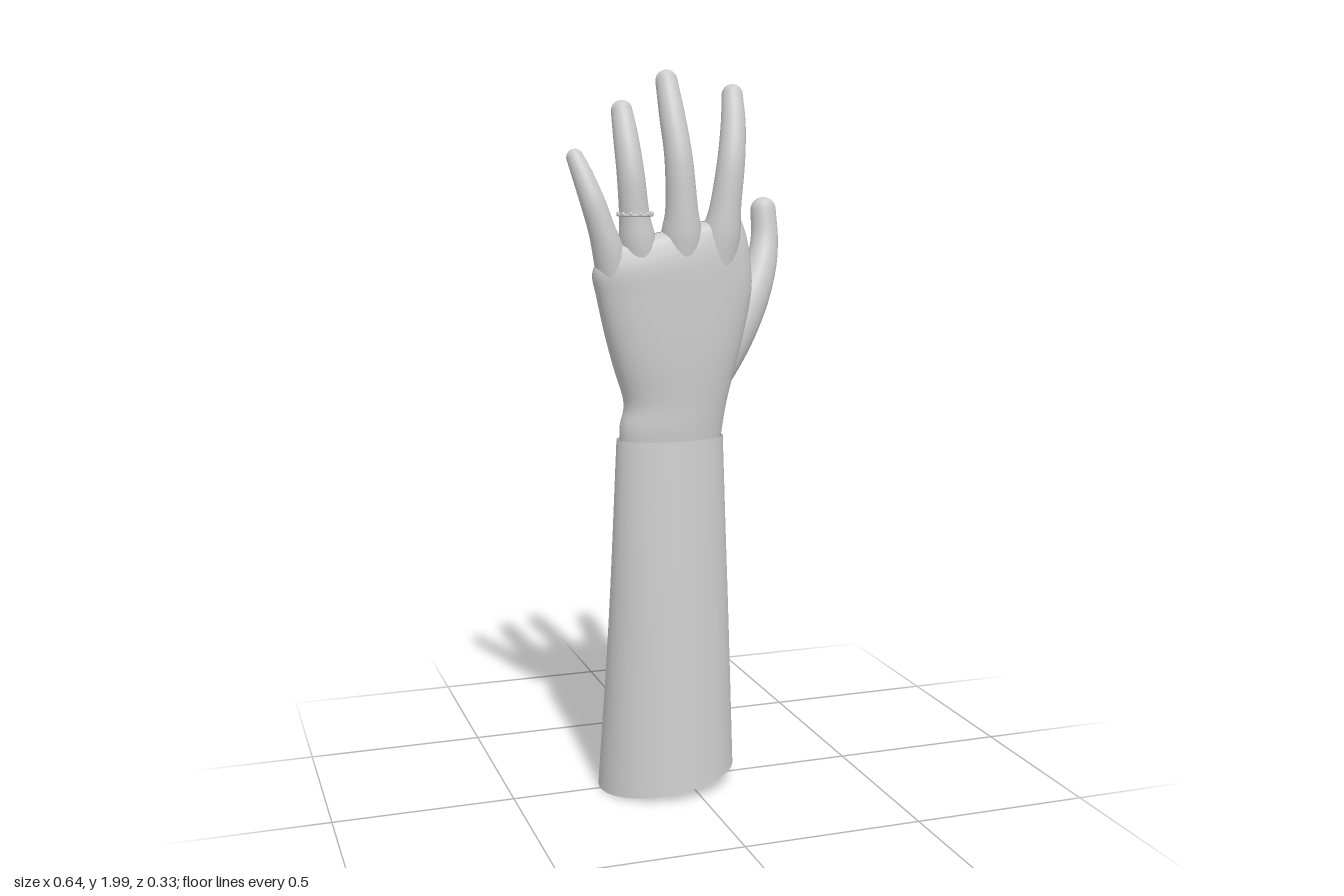
import * as THREE from 'three';

const skin = new THREE.MeshStandardMaterial({ color: 0xcccccc, side: THREE.DoubleSide });
const SIDES = 40;

// Smoothly resample rows of numbers, `steps` per interval
function resample(rows, steps) {
  const size = rows[0].length;
  const curve = new THREE.CubicInterpolant(
    Float32Array.from(rows.keys()), Float32Array.from(rows.flat()), size);
  const out = [];
  for (let i = 0; i <= (rows.length - 1) * steps; i++) out.push(Array.from(curve.evaluate(i / steps)));
  return out;
}

// Skin a list of closed rings (arrays of Vector3)
function loft(name, rings) {
  const pos = [], index = [], n = rings[0].length;
  rings.forEach(ring => ring.forEach(p => pos.push(p.x, p.y, p.z)));
  for (let i = 0; i < rings.length - 1; i++) {
    for (let j = 0; j < n; j++) {
      const a = i * n + j, b = i * n + (j + 1) % n;
      index.push(a, b, a + n, b, b + n, a + n);
    }
  }
  const geo = new THREE.BufferGeometry();
  geo.setAttribute('position', new THREE.Float32BufferAttribute(pos, 3));
  geo.setIndex(index);
  geo.computeVertexNormals();
  const mesh = new THREE.Mesh(geo, skin);
  mesh.name = name;
  return mesh;
}

// Level rounded section from [y, x0, x1, z0, z1, slope]; power < 1 makes it boxier
function section([y, x0, x1, z0, z1, slope], power) {
  const soft = v => Math.sign(v) * Math.abs(v) ** power;
  return Array.from({ length: SIDES }, (_, j) => {
    const a = j / SIDES * Math.PI * 2;
    const dx = soft(Math.cos(a)) * (x1 - x0) / 2;
    return new THREE.Vector3((x0 + x1) / 2 + dx, y + slope * dx,
      (z0 + z1) / 2 - soft(Math.sin(a)) * (z1 - z0) / 2);
  });
}

// Tapered digit along rows of [x, y, z, radius], ending in a round tip
function digit(name, rows) {
  const pts = resample(rows, 8);
  const centre = pts.map(p => new THREE.Vector3(p[0], p[1], p[2]));
  const rings = [];
  const addRing = (c, t, r) => {
    const u = new THREE.Vector3(1, 0, 0).addScaledVector(t, -t.x).normalize();
    const v = new THREE.Vector3().crossVectors(t, u);
    rings.push(Array.from({ length: 24 }, (_, j) => {
      const a = j / 24 * Math.PI * 2;
      return c.clone().addScaledVector(u, r * Math.cos(a)).addScaledVector(v, r * Math.sin(a));
    }));
  };
  let t;
  centre.forEach((c, i) => {
    t = centre[Math.min(i + 1, centre.length - 1)].clone().sub(centre[Math.max(i - 1, 0)]).normalize();
    addRing(c, t, pts[i][3]);
  });
  const end = centre[centre.length - 1], r = pts[pts.length - 1][3];
  for (let k = 1; k <= 8; k++) {
    const a = k / 8 * Math.PI / 2;
    addRing(end.clone().addScaledVector(t, r * Math.sin(a)), t, Math.max(r * Math.cos(a), 1e-4));
  }
  return loft(name, rings);
}

export function createModel() {
  const model = new THREE.Group();
  model.name = 'handAndForearm';

  // Forearm: open tube, cut at a slant below
  const armRows = [
    [0.025, -0.25, 0.14, -0.167, 0.168, 0.128],
    [0.5, -0.217, 0.128, -0.126, 0.127, 0.04],
    [1.0, -0.192, 0.113, -0.086, 0.084, 0],
  ];
  model.add(loft('forearm', resample(armRows, 10).map(r => section(r, 1))));

  // Wrist and palm, hollowed on the inner side
  const palmRows = [
    [0.95, -0.18, 0.1, -0.075, 0.074, 0],
    [1.03, -0.183, 0.112, -0.082, 0.079, 0],
    [1.1, -0.17, 0.124, -0.085, 0.08, 0],
    [1.2, -0.198, 0.15, -0.092, 0.084, 0],
    [1.3, -0.225, 0.175, -0.088, 0.085, 0],
    [1.4, -0.246, 0.193, -0.075, 0.083, 0.05],
    [1.48, -0.26, 0.183, -0.06, 0.08, 0.14],
    [1.53, -0.25, 0.168, -0.042, 0.07, 0.2],
    [1.56, -0.235, 0.15, -0.02, 0.055, 0.22],
    [1.572, -0.19, 0.11, 0.012, 0.026, 0.22],
  ];
  const palmRings = resample(palmRows, 6).map((r, i) => section(r, 1 - 0.18 * Math.min(1, i / 20)));
  palmRings.flat().forEach(p => {
    if (p.z < 0) p.z += 0.025 * Math.exp(-(((p.x + 0.04) / 0.09) ** 2) - ((p.y - 1.35) / 0.11) ** 2);
  });
  model.add(loft('palm', palmRings));

  // Fingers, curling towards the palm side
  model.add(digit('littleFinger', [
    [-0.195, 1.4, 0.01, 0.045], [-0.218, 1.51, 0.02, 0.043], [-0.24, 1.58, 0.025, 0.036],
    [-0.262, 1.65, 0.02, 0.033], [-0.284, 1.72, 0, 0.028], [-0.298, 1.763, -0.018, 0.023],
  ]));
  model.add(digit('ringFinger', [
    [-0.12, 1.42, 0.012, 0.05], [-0.138, 1.54, 0.022, 0.05], [-0.148, 1.61, 0.028, 0.041],
    [-0.158, 1.72, 0.028, 0.037], [-0.163, 1.81, 0.005, 0.034], [-0.165, 1.885, -0.028, 0.029],
  ]));
  model.add(digit('middleFinger', [
    [-0.015, 1.42, 0.015, 0.052], [-0.015, 1.55, 0.026, 0.056], [-0.018, 1.63, 0.036, 0.044],
    [-0.025, 1.76, 0.032, 0.038], [-0.033, 1.87, 0.003, 0.035], [-0.037, 1.965, -0.035, 0.03],
  ]));
  model.add(digit('indexFinger', [
    [0.08, 1.42, 0.012, 0.055], [0.098, 1.55, 0.025, 0.054], [0.108, 1.63, 0.034, 0.043],
    [0.125, 1.75, 0.03, 0.038], [0.14, 1.85, 0.005, 0.034], [0.149, 1.93, -0.028, 0.029],
  ]));
  model.add(digit('thumb', [
    [0.06, 1.13, -0.02, 0.062], [0.14, 1.26, -0.042, 0.07], [0.205, 1.36, -0.06, 0.06],
    [0.253, 1.45, -0.08, 0.046], [0.277, 1.53, -0.106, 0.039], [0.28, 1.615, -0.124, 0.036],
  ]));

  // Beaded band on the ring finger
  const band = new THREE.Group();
  band.name = 'fingerRing';
  band.position.set(-0.146, 1.612, 0.027);
  const hoop = new THREE.Mesh(new THREE.TorusGeometry(0.046, 0.004, 8, 48), skin);
  hoop.name = 'ringBand';
  hoop.rotation.x = Math.PI / 2;
  band.add(hoop);
  const beadGeo = new THREE.SphereGeometry(0.0055, 10, 8);
  for (let i = 0; i < 12; i++) {
    const a = i / 12 * Math.PI * 2;
    const bead = new THREE.Mesh(beadGeo, skin);
    bead.name = 'ringBead';
    bead.position.set(0.046 * Math.cos(a), 0.004, 0.046 * Math.sin(a));
    band.add(bead);
  }
  model.add(band);
  return model;
}
